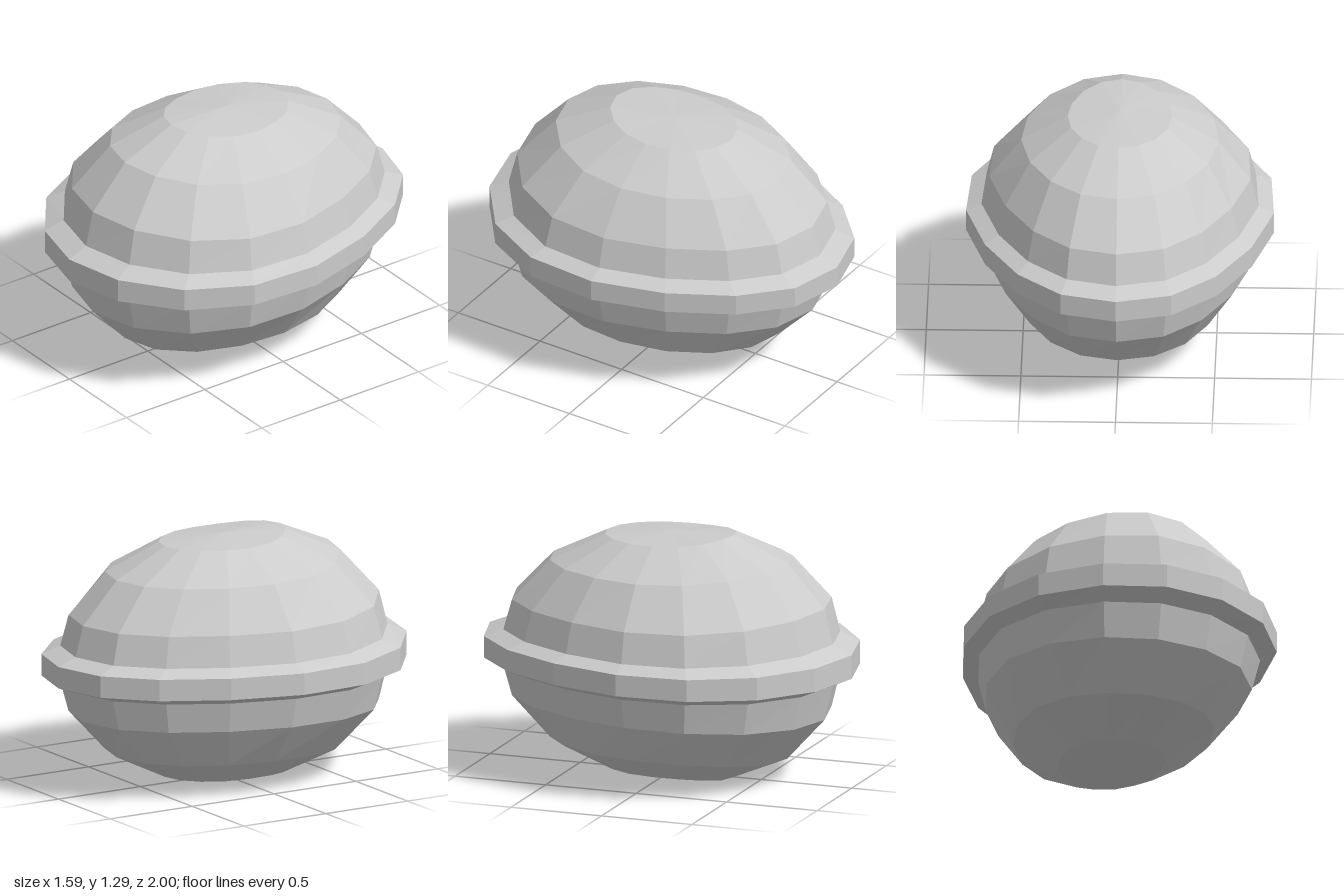
import * as THREE from 'three';

const SIDES = 16;
const MID = 0.645;

// Point on an egg-shaped ring: fuller toward +z, with the front swelling away from mid-height.
// ring = [height above middle, x radius, z radius, front swell, egg amount]
function ringPoint([h, rx, rz, swell, egg], j) {
  const a = ((j % SIDES) / SIDES) * Math.PI * 2;
  const c = Math.cos(a), s = Math.sin(a);
  const widen = 1 + (s > 0 ? 0.075 : 0.09) * 2 * Math.abs(c) * s * egg;
  const lift = Math.sign(h) * swell * Math.max(0, s) ** 2;
  return [rx * c * widen, MID + h + lift, rz * s];
}

// Skin a stack of rings, listed bottom to top, with flat facets.
function loft(name, rings, material) {
  const pos = [];
  for (let i = 0; i < rings.length - 1; i++) {
    for (let j = 0; j < SIDES; j++) {
      const a = ringPoint(rings[i], j), b = ringPoint(rings[i], j + 1);
      const c = ringPoint(rings[i + 1], j), d = ringPoint(rings[i + 1], j + 1);
      if (rings[i][1] > 0) pos.push(...a, ...c, ...b);
      if (rings[i + 1][1] > 0) pos.push(...b, ...c, ...d);
    }
  }
  const geometry = new THREE.BufferGeometry();
  geometry.setAttribute('position', new THREE.Float32BufferAttribute(pos, 3));
  geometry.computeVertexNormals();
  const mesh = new THREE.Mesh(geometry, material);
  mesh.name = name;
  return mesh;
}

// Same rings upside down, still bottom to top
const mirrored = (rings) => rings.map(([h, ...rest]) => [-h, ...rest]).reverse();

export function createModel() {
  const group = new THREE.Group();
  group.name = 'bandedEgg';
  const material = new THREE.MeshStandardMaterial({ color: 0xcccccc, flatShading: true });

  // Domed half shell, from the band up to the pole
  const dome = [
    [0.095, 0.715, 0.895, 0.015, 1],
    [0.255, 0.675, 0.85, 0.04, 1],
    [0.47, 0.51, 0.645, 0.05, 0.4],
    [0.613, 0.27, 0.35, 0.032, 0],
    [0.641, 0, 0, 0, 0],
  ];
  group.add(loft('upperShell', dome, material));
  group.add(loft('lowerShell', mirrored(dome), material));

  // Raised belt with bevelled top and bottom edges
  const halfBelt = [
    [0.057, 0.795, 1, 0.006, 1],
    dome[0],
  ];
  group.add(loft('belt', [...mirrored(halfBelt), ...halfBelt], material));
  return group;
}
